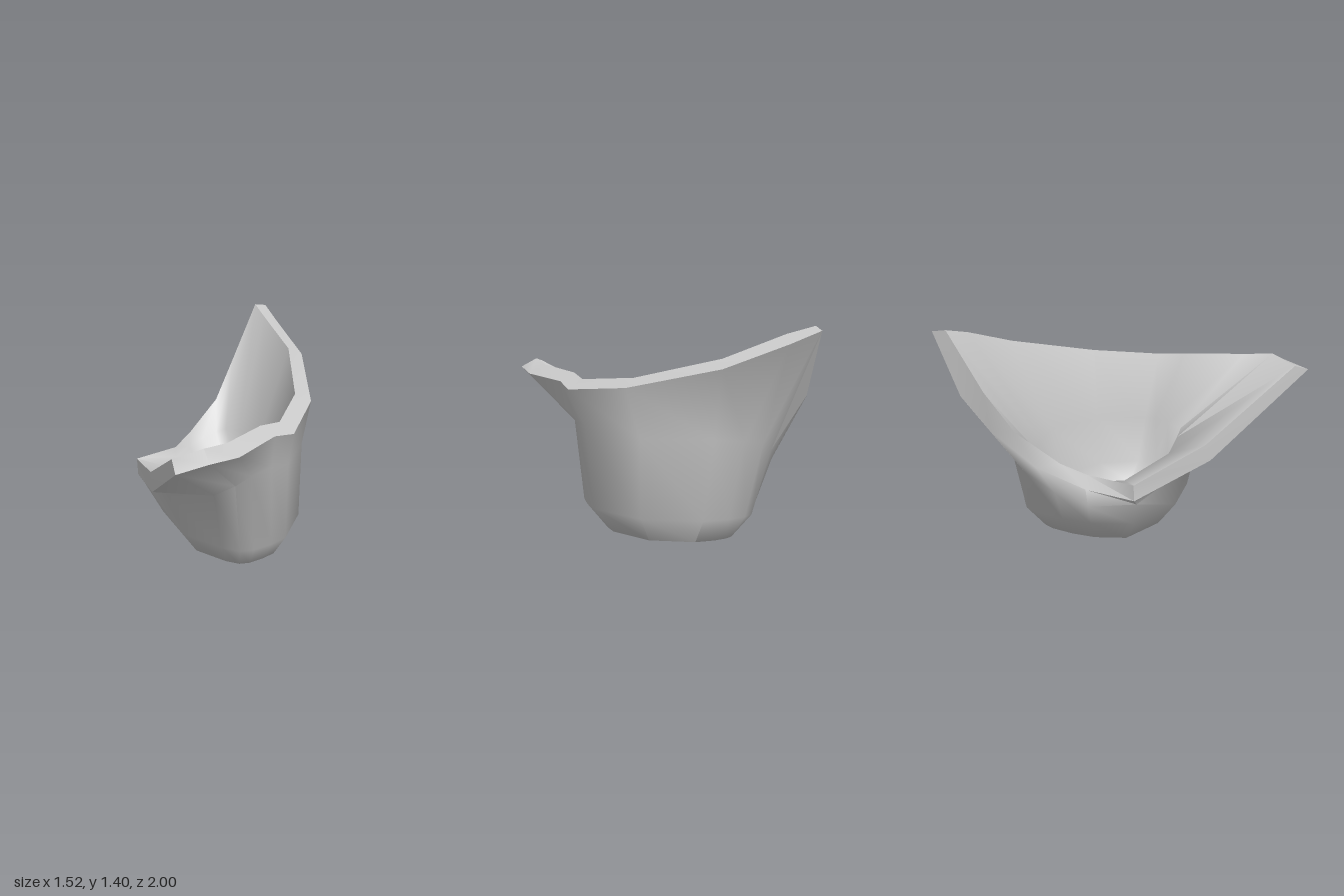
import * as THREE from 'three';
import { toCreasedNormals } from 'three/addons/utils/BufferGeometryUtils.js';

// Cross-sections run left -> back -> right -> front, 15 points [x, y, z] each.
// Outside of the bowl where it starts to flare
const shoulder = [
  [-0.56, 0.64, -0.58], [-0.42, 0.66, -0.62], [-0.22, 0.68, -0.63], [0.21, 0.68, -0.46], [0.48, 0.70, -0.08],
  [0.50, 0.72, 0.08], [0.49, 0.70, 0.24], [0.44, 0.64, 0.33], [0.30, 0.55, 0.39], [-0.10, 0.46, 0.45],
  [-0.55, 0.36, 0.30], [-0.67, 0.34, 0.02], [-0.69, 0.40, -0.20], [-0.67, 0.50, -0.43], [-0.63, 0.58, -0.53],
];
// Outer edge of the broken rim
const rimOuter = [
  [-0.76, 1.38, -1.00], [-0.58, 1.30, -0.95], [-0.20, 1.15, -0.84], [0.30, 1.00, -0.45], [0.58, 0.94, -0.03],
  [0.60, 0.97, 0.15], [0.74, 0.97, 0.56], [0.76, 0.99, 0.80], [0.70, 0.96, 1.00], [-0.06, 0.52, 0.60],
  [-0.61, 0.41, 0.31], [-0.66, 0.45, 0.00], [-0.69, 0.55, -0.33], [-0.70, 0.75, -0.65], [-0.74, 0.97, -0.83],
];
// Inner edge of the broken rim
const rimInner = [
  [-0.76, 1.40, -0.90], [-0.60, 1.35, -0.84], [-0.23, 1.20, -0.74], [0.23, 1.05, -0.37], [0.48, 1.00, 0.00],
  [0.50, 1.02, 0.18], [0.63, 1.03, 0.56], [0.66, 1.05, 0.76], [0.59, 1.01, 0.94], [-0.10, 0.64, 0.58],
  [-0.62, 0.52, 0.31], [-0.61, 0.53, -0.02], [-0.65, 0.59, -0.18], [-0.70, 0.77, -0.47], [-0.74, 1.02, -0.66],
];
// Inside of the bowl below the flare
const neck = [
  [-0.53, 0.60, -0.42], [-0.40, 0.61, -0.44], [-0.22, 0.62, -0.47], [0.14, 0.60, -0.30], [0.33, 0.58, -0.03],
  [0.34, 0.58, 0.04], [0.32, 0.57, 0.14], [0.29, 0.56, 0.25], [0.15, 0.55, 0.28], [-0.09, 0.53, 0.32],
  [-0.49, 0.48, 0.19], [-0.58, 0.47, 0.00], [-0.62, 0.50, -0.15], [-0.60, 0.54, -0.26], [-0.57, 0.58, -0.36],
];

// Flat copy of a section at height y, rescaled from its old centre to a new one
const shrink = (ring, y, [ox, oz], [nx, nz], sx, sz) =>
  ring.map(([x, , z]) => [nx + (x - ox) * sx, y, nz + (z - oz) * sz]);

const collapse = (ring, x, y, z) => ring.map(() => [x, y, z]);

// Skin over closed sections; the first and last ones are single points
function loft(rings) {
  const pos = [];
  const n = rings[0].length;
  const last = rings.length - 2;
  for (let j = 0; j <= last; j++) {
    for (let i = 0; i < n; i++) {
      const k = (i + 1) % n;
      const a = rings[j][i], b = rings[j][k], c = rings[j + 1][k], d = rings[j + 1][i];
      if (j < last) pos.push(...a, ...d, ...c);
      if (j > 0) pos.push(...a, ...c, ...b);
    }
  }
  const geo = new THREE.BufferGeometry();
  geo.setAttribute('position', new THREE.Float32BufferAttribute(pos, 3));
  return toCreasedNormals(geo, 1.05);
}

export function createModel() {
  const group = new THREE.Group();
  group.name = 'brokenPot';

  const outside = [-0.095, -0.09];
  const inside = [-0.14, -0.075];
  const base = shrink(shoulder, 0, outside, [-0.06, -0.13], 0.64, 0.685);
  const belly = shrink(shoulder, 0.16, outside, [-0.055, -0.12], 0.85, 0.89);
  const innerBelly = shrink(neck, 0.25, inside, [-0.07, -0.115], 0.82, 0.85);
  const floor = shrink(neck, 0.12, inside, [-0.06, -0.13], 0.6, 0.66);

  // One thick shell: base, outer wall, broken rim, inner wall, floor
  const shell = new THREE.Mesh(
    loft([
      collapse(base, -0.06, 0, -0.13), base, belly, shoulder, rimOuter,
      rimInner, neck, innerBelly, floor, collapse(floor, -0.06, 0.12, -0.13),
    ]),
    new THREE.MeshStandardMaterial({ color: 0xcccccc, side: THREE.DoubleSide }),
  );
  shell.name = 'potShell';
  group.add(shell);
  return group;
}
